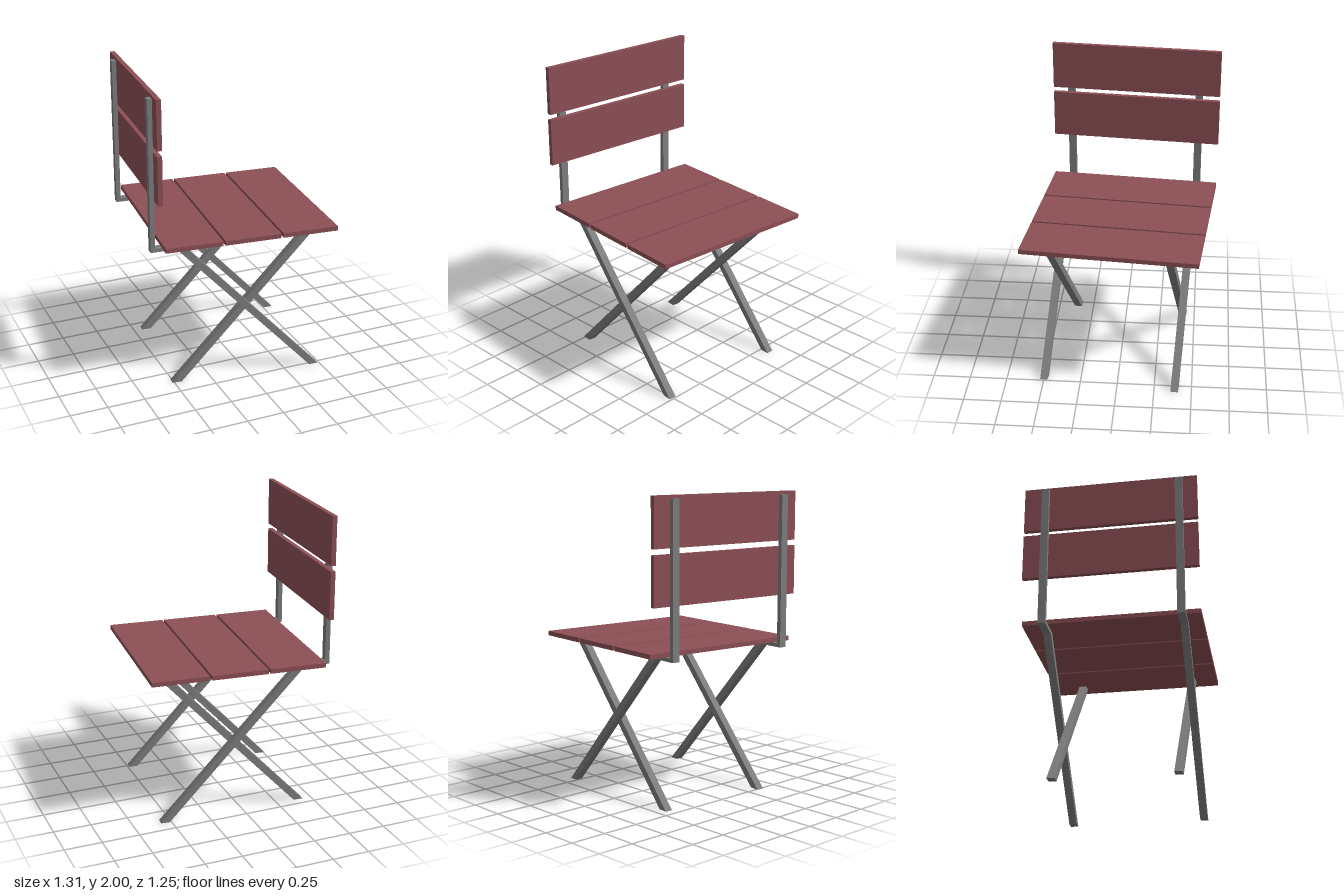
import * as THREE from 'three';

export function createModel() {
  const chair = new THREE.Group();
  chair.name = 'foldingChair';

  const wood = new THREE.MeshStandardMaterial({ color: 0x8d5055 });
  wood.name = 'paintedWoodRed';
  const metal = new THREE.MeshStandardMaterial({ color: 0x7e7e7e });
  metal.name = 'frameGrey';

  // Chair stands slightly turned about the vertical axis
  const body = new THREE.Group();
  body.name = 'chairBody';
  body.position.x = 0.03;
  body.rotation.y = THREE.MathUtils.degToRad(-5.1);
  chair.add(body);

  // Box given by its x and y ranges, spanning the full chair width in z
  const board = (name, x0, x1, y0, y1) => {
    const mesh = new THREE.Mesh(new THREE.BoxGeometry(x1 - x0, y1 - y0, 1.15), wood);
    mesh.position.set((x0 + x1) / 2, (y0 + y1) / 2, 0);
    mesh.name = name;
    body.add(mesh);
  };

  // Flat bar cut from a side profile, centred on z
  const bar = (name, points, z) => {
    const shape = new THREE.Shape(points.map(([x, y]) => new THREE.Vector2(x, y)));
    const geo = new THREE.ExtrudeGeometry(shape, { depth: 0.05, bevelEnabled: false });
    geo.translate(0, 0, z - 0.025);
    const mesh = new THREE.Mesh(geo, metal);
    mesh.name = name;
    body.add(mesh);
  };

  // Seat planks
  const plank = 0.373, step = 0.3885;
  for (let i = 0; i < 3; i++) {
    const x = -0.575 + i * step;
    board('seatPlank' + (i + 1), x, x + plank, 1.01, 1.04);
  }

  // Backrest boards
  board('lowerBackBoard', -0.618, -0.587, 1.328, 1.645);
  board('upperBackBoard', -0.618, -0.587, 1.682, 2.0);

  // Bent bar: front foot, up under the seat, then up behind the backrest
  const bentProfile = [
    [0.443, 0], [0.503, 0], [-0.439, 1.01], [-0.618, 1.01],
    [-0.618, 1.98], [-0.648, 1.98], [-0.648, 0.985], [-0.478, 0.985],
  ];
  // Straight bar: rear foot up to the front of the seat
  const straightProfile = [[-0.507, 0], [-0.442, 0], [0.505, 1.01], [0.44, 1.01]];

  // Crossing pairs, the straight bars just inside the bent ones
  const middle = 0.013;
  for (const [side, s] of [['Left', 1], ['Right', -1]]) {
    bar('backPostAndLeg' + side, bentProfile, middle + s * 0.444);
    bar('crossLeg' + side, straightProfile, middle + s * 0.39);
  }

  return chair;
}
